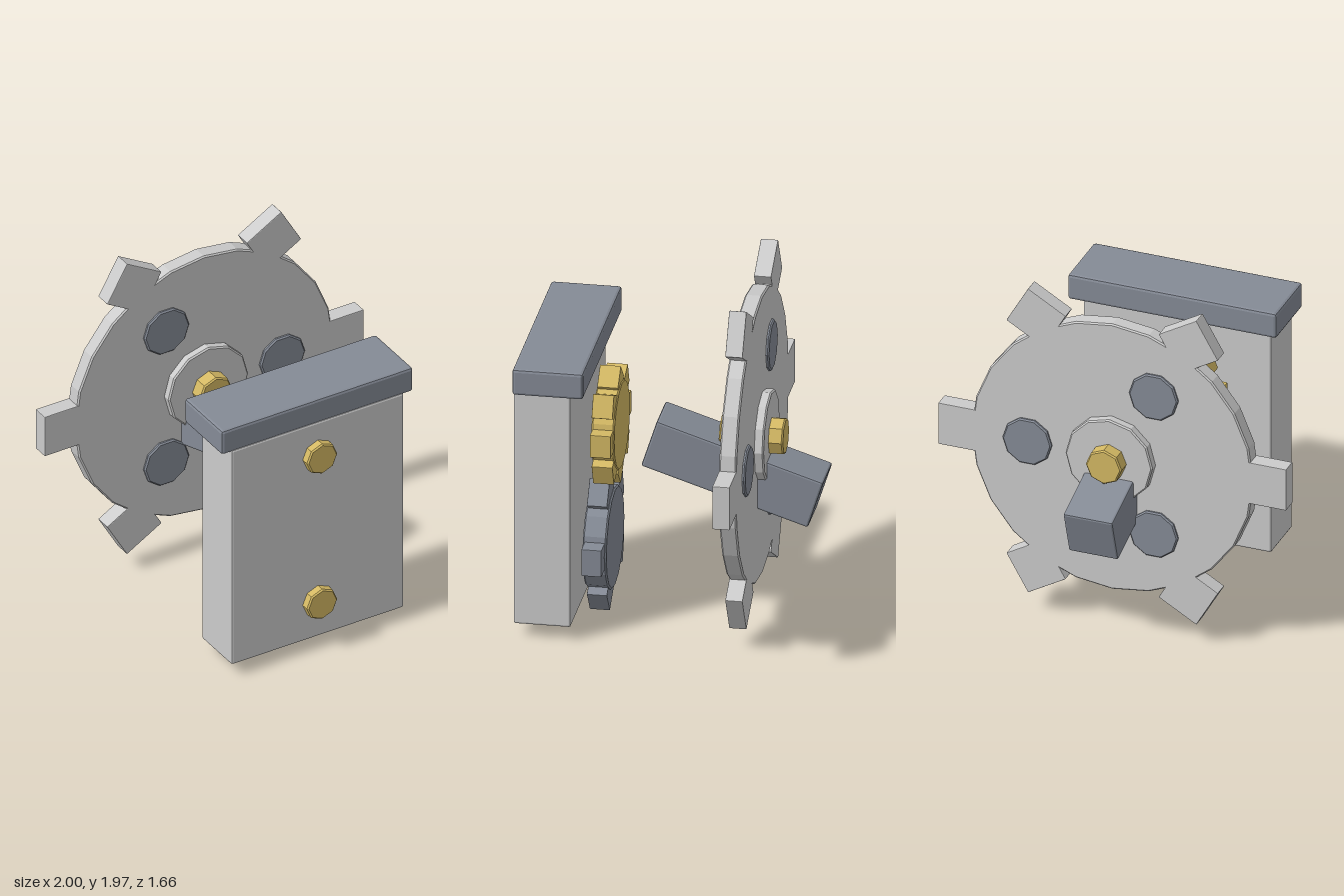
import * as THREE from 'three';
import { RoundedBoxGeometry } from 'three/addons/geometries/RoundedBoxGeometry.js';

const grey = new THREE.MeshStandardMaterial({ color: 0xcccccc, flatShading: true });
const steel = new THREE.MeshStandardMaterial({ color: 0x858b96, flatShading: true });
const brass = new THREE.MeshStandardMaterial({ color: 0xd4b964, flatShading: true });

function box(name, material, w, h, d, x, y, z, bevel = 0.012) {
  const mesh = new THREE.Mesh(new RoundedBoxGeometry(w, h, d, 1, bevel), material);
  mesh.name = name;
  mesh.position.set(x, y, z);
  return mesh;
}

// Disc whose axis runs along z, with a small chamfer on both rims
function disc(name, material, radius, sides, z0, z1, x = 0, y = 0, turn = 0) {
  const h = (z1 - z0) / 2, b = 0.008;
  const profile = [[0, -h], [radius - b, -h], [radius, -h + b], [radius, h - b], [radius - b, h], [0, h]];
  const geometry = new THREE.LatheGeometry(profile.map(p => new THREE.Vector2(...p)), sides);
  geometry.rotateX(Math.PI / 2).rotateZ(turn);
  const mesh = new THREE.Mesh(geometry, material);
  mesh.name = name;
  mesh.position.set(x, y, (z0 + z1) / 2);
  return mesh;
}

// Disc with square teeth; each tooth turns half as fast as its position
function gear(name, material, o) {
  const group = new THREE.Group();
  group.name = name;
  group.position.set(0, o.y, o.z);
  group.add(disc(name + 'Disc', material, o.radius, o.sides, -o.depth / 2, o.depth / 2));
  for (let i = 0; i < o.teeth; i++) {
    const a = (i / o.teeth) * Math.PI * 2;
    const tooth = box(name + 'Tooth', material, o.tooth, o.tooth, o.toothDepth,
      Math.cos(a) * o.reach, Math.sin(a) * o.reach, 0, 0.004);
    tooth.rotation.z = a / 2;
    group.add(tooth);
  }
  return group;
}

export function createModel() {
  const model = new THREE.Group();
  const axisY = 1.047;

  // Front housing with overhanging cap and two bolts
  model.add(box('housing', grey, 1.08, 1.37, 0.31, 0, 0.765, 0.625));
  model.add(box('housingCap', steel, 1.2, 0.15, 0.385, 0, 1.515, 0.585, 0.016));
  for (const y of [1.24, 0.31]) model.add(disc('bolt', brass, 0.095, 8, 0.75, 0.83, 0, y));

  // Small gears behind the housing
  model.add(gear('upperGear', brass, {
    y: axisY, z: 0.349, radius: 0.248, sides: 16, depth: 0.125,
    teeth: 8, tooth: 0.13, toothDepth: 0.114, reach: 0.25,
  }));
  model.add(gear('lowerGear', steel, {
    y: 0.387, z: 0.388, radius: 0.283, sides: 16, depth: 0.13,
    teeth: 5, tooth: 0.155, toothDepth: 0.11, reach: 0.29,
  }));

  // Large rear wheel with hub, axle and three inset plugs
  model.add(gear('wheel', grey, {
    y: axisY, z: -0.428, radius: 0.81, sides: 24, depth: 0.094,
    teeth: 6, tooth: 0.25, toothDepth: 0.094, reach: 0.875,
  }));
  model.add(disc('hub', grey, 0.25, 12, -0.525, -0.335, 0, axisY));
  model.add(disc('axle', brass, 0.103, 8, -0.603, -0.255, 0, axisY));
  for (let i = 0; i < 3; i++) {
    const a = (i / 3) * Math.PI * 2;
    model.add(disc('wheelPlug', steel, 0.141, 10, -0.492, -0.364,
      Math.cos(a) * 0.484, axisY + Math.sin(a) * 0.484, Math.PI / 2));
  }

  // Tilted block passing through the wheel below its axle
  const block = box('tiltedBlock', steel, 0.285, 0.28, 0.95, 0, 0.863, -0.336);
  block.rotation.x = -0.312;
  model.add(block);

  return model;
}
